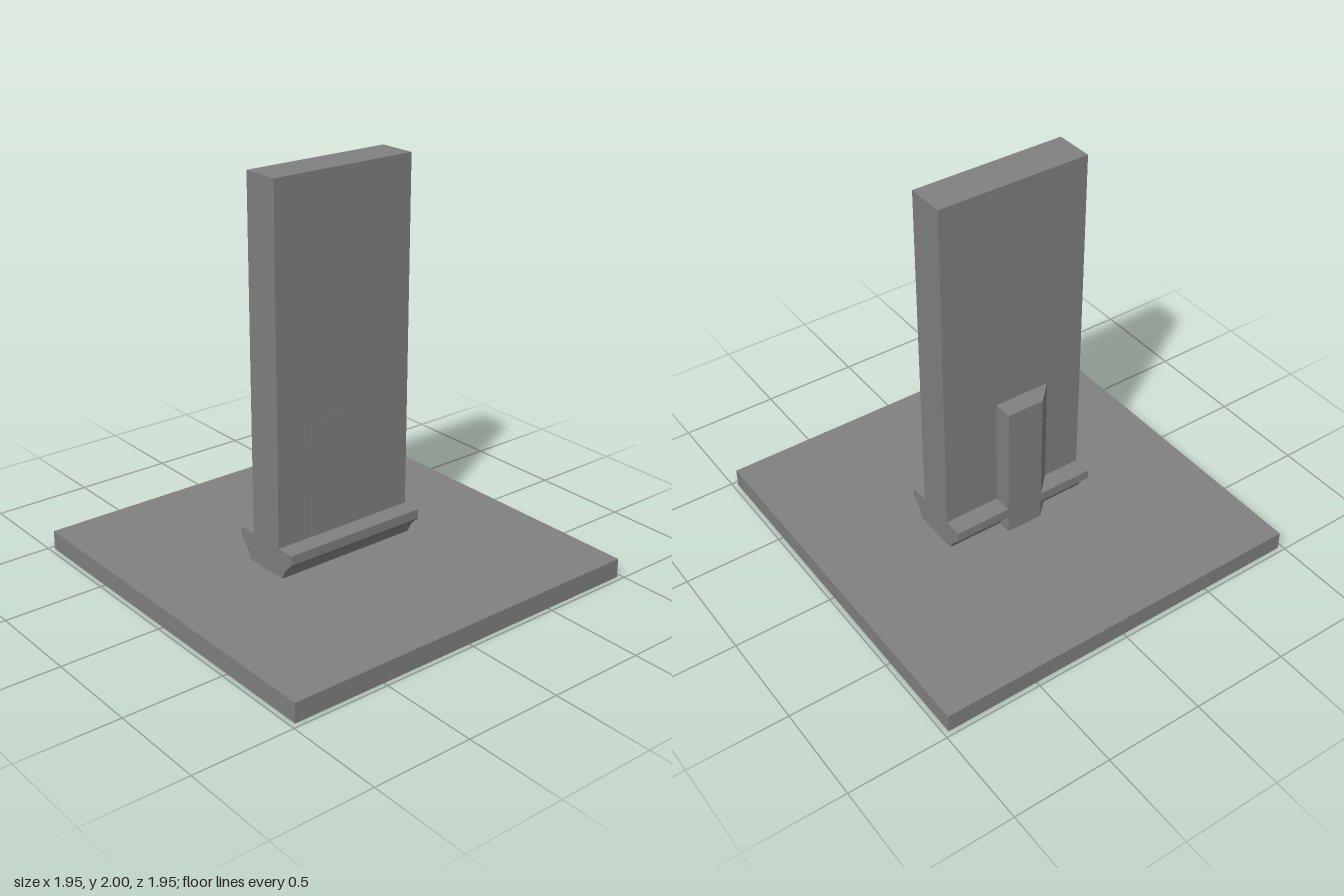
import * as THREE from 'three';

const U = 2 / 20.5; // modelling unit: the whole model is 20.5 units tall

function polygon(points) {
  return new THREE.Shape(points.map(([x, y]) => new THREE.Vector2(x * U, y * U)));
}

export function createModel() {
  const group = new THREE.Group();
  const grey = new THREE.MeshStandardMaterial({ color: 0x808080 });
  grey.name = 'grey';

  const add = (name, geometry) => {
    const mesh = new THREE.Mesh(geometry, grey);
    mesh.name = name;
    group.add(mesh);
    return mesh;
  };

  // Square ground plate
  add('basePlate', new THREE.BoxGeometry(20 * U, U, 20 * U).translate(0, U / 2, 0));

  // Upright slab and flared foot share one mirrored profile (z, y), extruded along x
  const half = [[1.25, 1], [1.5, 1.5], [2, 2], [2, 2.5], [1, 2.5], [1, 20.5]];
  const mirrored = half.map(([z, y]) => [-z, y]).reverse();
  const width = 8 * U;
  const slab = new THREE.ExtrudeGeometry(polygon([...half, ...mirrored]), { depth: width, bevelEnabled: false });
  slab.translate(0, 0, -width / 2).rotateY(-Math.PI / 2);
  add('slabWithFoot', slab);

  // Rear buttress with one slanted side: plan (x, -z), extruded upward
  const plan = [[1, 0.9], [1, 2], [-1, 2], [-2, 1], [-2, 0.9]];
  const buttress = new THREE.ExtrudeGeometry(polygon(plan), { depth: 7.5 * U, bevelEnabled: false });
  buttress.rotateX(-Math.PI / 2).translate(0, U, 0);
  add('rearButtress', buttress);

  // Flush inlay on the front face
  add('frontInlay', new THREE.BoxGeometry(2 * U, 6 * U, 0.004).translate(-U, 5.5 * U, U));

  return group;
}
